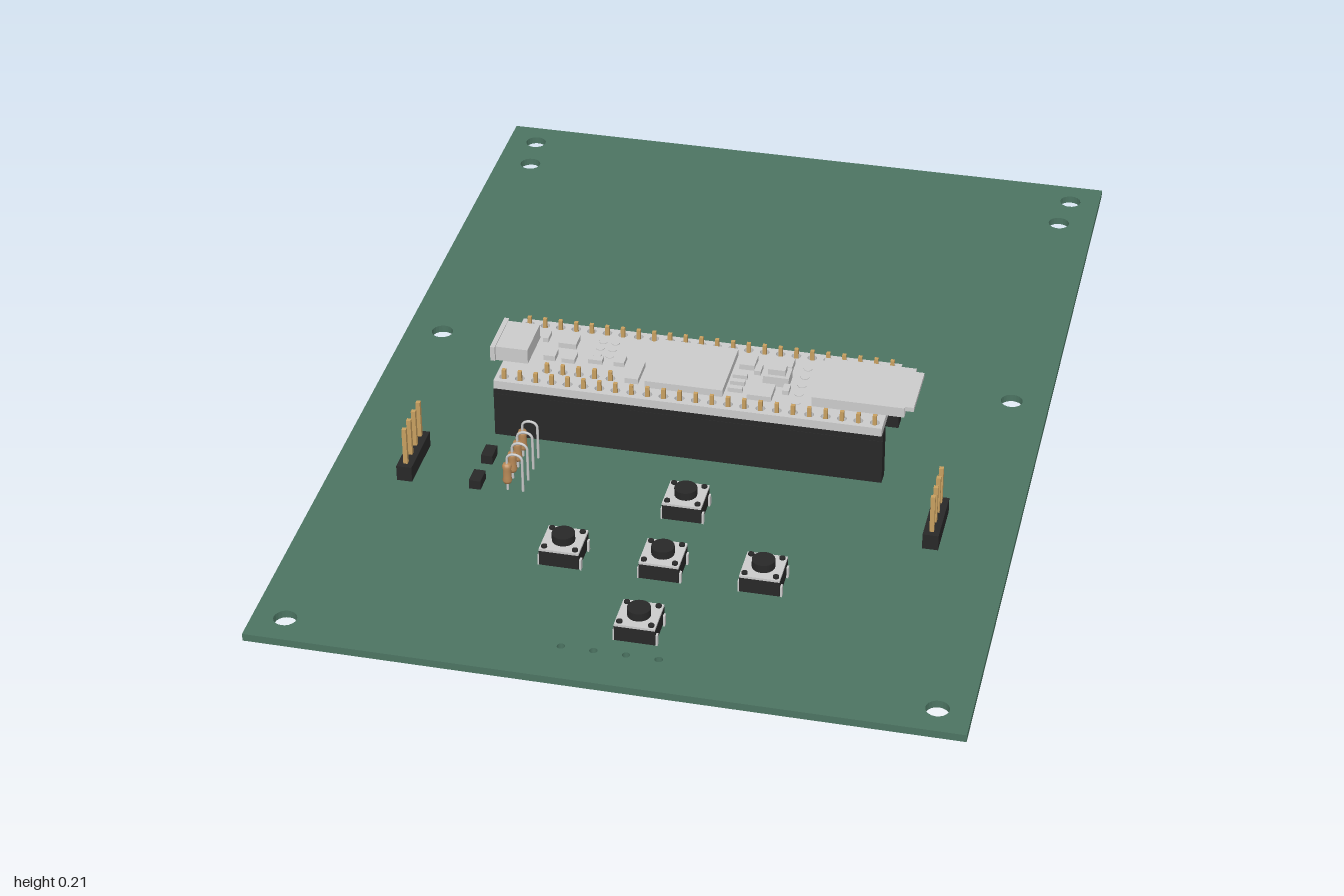
import * as THREE from 'three';

const mat = (color) => new THREE.MeshStandardMaterial({ color });
const GREEN = mat(0x4c7462), BLACK = mat(0x282828), GREY = mat(0xcccccc), BRASS = mat(0xc8a060),
  TAN = mat(0xb98a58), WHITE = mat(0xf4f4f4);

function add(parent, name, geometry, material, x = 0, y = 0, z = 0) {
  const m = new THREE.Mesh(geometry, material);
  m.name = name;
  m.position.set(x, y, z);
  parent.add(m);
  return m;
}

// Box given by its extents on each axis
function block(parent, name, material, [x0, x1], [y0, y1], [z0, z1]) {
  return add(parent, name, new THREE.BoxGeometry(x1 - x0, y1 - y0, z1 - z0), material,
    (x0 + x1) / 2, (y0 + y1) / 2, (z0 + z1) / 2);
}

const pin = (parent, x, z, y0, y1, w = 0.009) =>
  block(parent, 'pin', BRASS, [x - w / 2, x + w / 2], [y0, y1], [z - w / 2, z + w / 2]);

const group = (parent, name, x = 0, y = 0, z = 0) => {
  const g = new THREE.Group();
  g.name = name;
  g.position.set(x, y, z);
  parent.add(g);
  return g;
};

// Flat plate with round holes [x, z, radius]
function plate(parent, name, material, [x0, x1], [y0, y1], [z0, z1], holes) {
  const s = new THREE.Shape();
  s.moveTo(x0, -z1).lineTo(x1, -z1).lineTo(x1, -z0).lineTo(x0, -z0).closePath();
  for (const [x, z, r] of holes) s.holes.push(new THREE.Path().absarc(x, -z, r, 0, Math.PI * 2, true));
  const g = new THREE.ExtrudeGeometry(s, { depth: y1 - y0, bevelEnabled: false, curveSegments: 10 });
  g.rotateX(-Math.PI / 2);
  return add(parent, name, g, material, 0, y0, 0);
}

const TOP = 0.046; // upper face of the main board

function pushButton(parent, x, z) {
  const g = group(parent, 'pushButton', x, 0, z);
  block(g, 'buttonBody', BLACK, [-0.04, 0.04], [TOP + 0.004, 0.083], [-0.04, 0.04]);
  block(g, 'buttonPlate', GREY, [-0.04, 0.04], [0.083, 0.088], [-0.04, 0.04]);
  add(g, 'plunger', new THREE.CylinderGeometry(0.023, 0.023, 0.022, 24), BLACK, 0, 0.094, 0);
  for (const sx of [-1, 1]) for (const sz of [-1, 1]) {
    add(g, 'rivet', new THREE.CylinderGeometry(0.006, 0.006, 0.006, 10), BLACK, sx * 0.031, 0.089, sz * 0.031);
    // bent leg: down the side and through the board
    block(g, 'leg', GREY, [sx * 0.042 - 0.002, sx * 0.042 + 0.002], [0.004, 0.07],
      [sz * 0.031 - 0.005, sz * 0.031 + 0.005]);
  }
}

function pinHeader(parent, x) {
  const g = group(parent, 'pinHeader', x, 0, 0.385);
  for (let i = 0; i < 4; i++) {
    const z = (i - 1.5) * 0.033;
    block(g, 'headerBlock', BLACK, [-0.016, 0.016], [TOP, 0.08], [z - 0.0165, z + 0.0165]);
    pin(g, 0, z, 0.008, 0.163);
  }
}

function uprightResistor(parent, z) {
  const g = group(parent, 'uprightResistor', -0.328, 0, z);
  const profile = [[0, 0.062], [0.008, 0.064], [0.01, 0.07], [0.0085, 0.078], [0.0085, 0.096],
    [0.01, 0.103], [0.008, 0.109], [0, 0.111]].map(([r, y]) => new THREE.Vector2(r, y));
  add(g, 'resistorBody', new THREE.LatheGeometry(profile, 14), TAN);
  // wire loops over the body and down beside it
  const path = new THREE.CurvePath();
  const p = (x, y) => new THREE.Vector3(x, y, 0);
  path.add(new THREE.LineCurve3(p(0, 0.01), p(0, 0.12)));
  path.add(new THREE.CubicBezierCurve3(p(0, 0.12), p(0, 0.138), p(0.032, 0.138), p(0.032, 0.12)));
  path.add(new THREE.LineCurve3(p(0.032, 0.12), p(0.032, 0.01)));
  add(g, 'resistorWire', new THREE.TubeGeometry(path, 48, 0.0028, 6), GREY);
}

function controller(parent) {
  const g = group(parent, 'controllerModule');
  const P0 = 0.163, P1 = 0.182;
  const rowX = Array.from({ length: 24 }, (_, i) => (i - 11.5) * 0.0335);
  const innerX = Array.from({ length: 5 }, (_, i) => -0.305 + i * 0.0335);
  const pins = [...rowX.map((x) => [x, 0.032]), ...rowX.map((x) => [x, 0.236]), ...innerX.map((x) => [x, 0.196])];
  // sockets with the plug strips on top
  for (const [z, x0, x1] of [[0.034, -0.405, 0.405], [0.234, -0.405, 0.405], [0.196, -0.322, -0.154]]) {
    block(g, 'socket', BLACK, [x0, x1], [TOP, 0.147], [z - 0.016, z + 0.016]);
    block(g, 'plugStrip', BLACK, [x0, x1], [0.147, P0], [z - 0.015, z + 0.015]);
  }
  plate(g, 'moduleBoard', GREY, [-0.403, 0.403], [P0, P1], [0.015, 0.255], pins.map(([x, z]) => [x, z, 0.01]));
  for (const [x, z] of pins) {
    pin(g, x, z, 0.012, TOP);
    pin(g, x, z, P0, 0.2, 0.008);
  }
  // connectors and main chips
  block(g, 'usbPort', GREY, [-0.425, -0.35], [P1, 0.215], [0.08, 0.18]);
  block(g, 'usbLip', GREY, [-0.428, -0.418], [P1 + 0.002, 0.217], [0.073, 0.187]);
  block(g, 'mainChip', GREY, [-0.095, 0.067], [P1, 0.198], [0.055, 0.213]);
  block(g, 'cardSlot', GREY, [0.25, 0.44], [P1, 0.204], [0.058, 0.206]);
  block(g, 'memoryCard', GREY, [0.42, 0.458], [0.194, 0.204], [0.07, 0.2]);
  block(g, 'resetBase', GREY, [0.138, 0.192], [P1, 0.204], [0.112, 0.152]);
  block(g, 'resetButton', GREY, [0.147, 0.183], [0.204, 0.217], [0.12, 0.144]);
  block(g, 'undersideChip', GREY, [0.25, 0.385], [0.15, P0], [0.06, 0.2]);
  // small components: x, z, width, depth, height
  const small = [[-0.285, 0.088, 0.038, 0.038, 0.012], [-0.335, 0.078, 0.012, 0.03, 0.01], [-0.31, 0.145, 0.025, 0.028, 0.012],
    [-0.27, 0.145, 0.028, 0.03, 0.01], [-0.215, 0.143, 0.03, 0.016, 0.01], [-0.125, 0.172, 0.028, 0.066, 0.012],
    [-0.165, 0.135, 0.022, 0.03, 0.01], [0.095, 0.085, 0.032, 0.04, 0.012], [0.165, 0.08, 0.046, 0.034, 0.014],
    [0.142, 0.186, 0.05, 0.048, 0.012], [0.088, 0.136, 0.03, 0.012, 0.01], [0.088, 0.16, 0.03, 0.012, 0.01],
    [0.088, 0.185, 0.03, 0.012, 0.01], [0.12, 0.105, 0.014, 0.028, 0.01], [0.19, 0.165, 0.014, 0.026, 0.01]];
  for (const [x, z, w, d, h] of small)
    block(g, 'smallComponent', GREY, [x - w / 2, x + w / 2], [P1, P1 + h], [z - d / 2, z + d / 2]);
  // bare contact pads
  const pads = [];
  for (let i = 0; i < 5; i++) pads.push([0.217, 0.075 + i * 0.0315]);
  for (let i = 0; i < 3; i++) pads.push([-0.218, 0.066 + i * 0.025], [-0.192, 0.066 + i * 0.025]);
  for (const [x, z] of pads) add(g, 'contactPad', new THREE.CylinderGeometry(0.009, 0.009, 0.002, 12), WHITE, x, P1 + 0.0005, z);
}

export function createModel() {
  const model = new THREE.Group();
  model.name = 'circuitBoard';

  // main board with mounting holes and a row of four open pin holes
  const holes = [];
  for (const s of [-1, 1])
    for (const [x, z] of [[0.633, -0.935], [0.62, -0.835], [0.62, -0.1], [0.633, 0.935]]) holes.push([s * x, z, 0.023]);
  for (let i = 0; i < 4; i++) holes.push([-0.095 + i * 0.0635, 0.905, 0.008]);
  plate(model, 'mainBoard', GREEN, [-0.698, 0.698], [0.03, TOP], [-1, 1], holes);

  controller(model);
  for (const [x, z] of [[0.04, 0.43], [-0.16, 0.63], [0.04, 0.63], [0.24, 0.63], [0.04, 0.83]]) pushButton(model, x, z);
  for (const x of [-0.54, 0.538]) pinHeader(model, x);
  for (const z of [0.314, 0.354, 0.394, 0.434]) uprightResistor(model, z);

  // two small black parts beside the resistors
  for (const z of [0.338, 0.428]) {
    const g = group(model, 'smallBlackPart', -0.393, 0, z);
    block(g, 'partBody', BLACK, [-0.012, 0.012], [TOP, 0.066], [-0.02, 0.02]);
    for (const s of [-1, 1]) pin(g, 0, s * 0.012, 0.012, TOP, 0.005);
  }
  return model;
}
